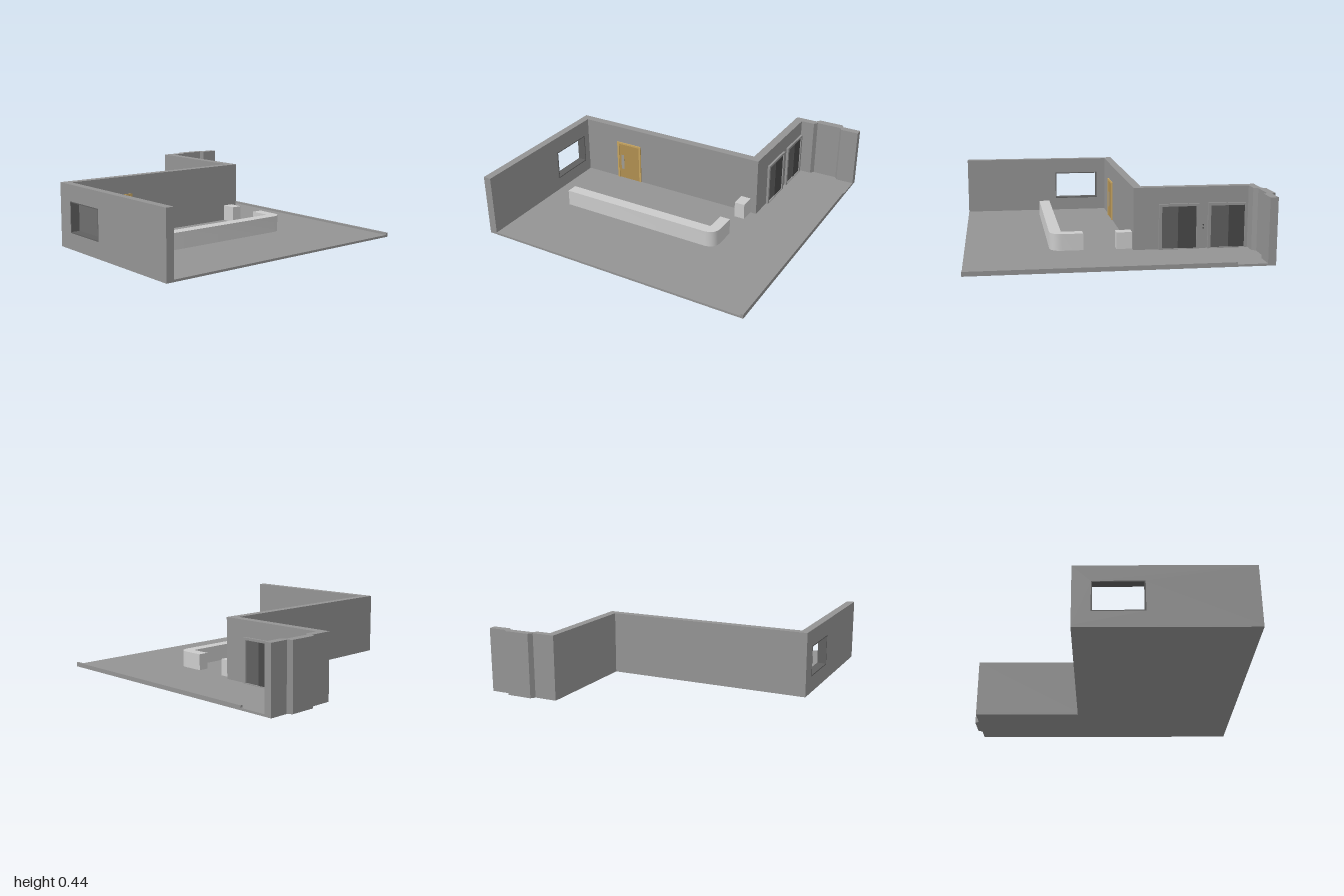
import * as THREE from 'three';
import { toCreasedNormals } from 'three/addons/utils/BufferGeometryUtils.js';

const paint = (color) => new THREE.MeshStandardMaterial({ color });
const H = 0.44, FLOOR = 0.015;

export function createModel() {
  const model = new THREE.Group();
  const stone = paint(0x949494), light = paint(0xcccccc);
  const panel = paint(0x606060), darkPanel = paint(0x484848);
  const wood = paint(0xc8a560), woodDark = paint(0xb08f50), glass = paint(0xa09c94);

  const add = (name, geometry, material, parent = model) => {
    const mesh = new THREE.Mesh(geometry, material);
    mesh.name = name;
    parent.add(mesh);
    return mesh;
  };
  // Box given by its two opposite corners
  const box = (name, [x0, y0, z0], [x1, y1, z1], material, parent) => {
    const mesh = add(name, new THREE.BoxGeometry(x1 - x0, y1 - y0, z1 - z0), material, parent);
    mesh.position.set((x0 + x1) / 2, (y0 + y1) / 2, (z0 + z1) / 2);
    return mesh;
  };
  // Floor-plan outline of (x, z) points
  const plan = (points) => new THREE.Shape(points.map(([x, z]) => new THREE.Vector2(x, -z)));
  const raise = (shape, y0, y1) => new THREE.ExtrudeGeometry(shape, { depth: y1 - y0, bevelEnabled: false, curveSegments: 10 })
    .rotateX(-Math.PI / 2).translate(0, y0, 0);
  // Upright outline of (z, y) points, extruded from x1 back to x0
  const rect = (z0, z1, y0, y1, Type = THREE.Shape) => new Type([[z0, y0], [z1, y0], [z1, y1], [z0, y1]]
    .map(([z, y]) => new THREE.Vector2(z, y)));
  const sideways = (shape, x0, x1) => new THREE.ExtrudeGeometry(shape, { depth: x1 - x0, bevelEnabled: false })
    .rotateY(-Math.PI / 2).translate(x1, 0, 0);

  // L-shaped floor with the bay at the end of the hall
  const bayOuter = [[0.98, -0.97], [0.85, -0.97], [0.83, -1], [0.65, -1], [0.63, -0.97], [0.47, -0.97]];
  const bayInner = [[0.53, -0.917], [0.63, -0.917], [0.65, -0.945], [0.83, -0.945], [0.85, -0.917], [0.98, -0.917]];
  add('floor', raise(plan([[-0.985, 1], [0.98, 1], ...bayOuter, [0.47, -0.185], [-0.985, -0.185]]), 0, FLOOR), stone);
  box('floorCurb', [0.963, FLOOR, -0.72], [0.98, 0.03, 1], stone);

  // Back, hall and end walls as one bent run
  add('backWalls', raise(plan([
    [-0.93, -0.127], [0.53, -0.127], ...bayInner, ...bayOuter, [0.47, -0.185], [-0.93, -0.185],
  ]), FLOOR, H), stone);

  // Window wall and its thin lining
  const wall = rect(-0.185, 1, FLOOR, H);
  wall.holes.push(rect(-0.062, 0.282, 0.113, 0.327, THREE.Path));
  add('windowWall', sideways(wall, -0.985, -0.93), stone);
  const lining = rect(-0.062, 0.282, 0.113, 0.327);
  lining.holes.push(rect(-0.055, 0.275, 0.12, 0.32, THREE.Path));
  add('windowFrame', sideways(lining, -0.985, -0.922), panel);

  // Counter with a rounded corner, and its short return by the wall
  const counter = new THREE.Shape();
  counter.moveTo(-0.725, -0.43);
  counter.lineTo(0.41, -0.43);
  counter.quadraticCurveTo(0.485, -0.42, 0.485, -0.345);
  counter.lineTo(0.485, -0.205);
  counter.lineTo(0.41, -0.205);
  counter.lineTo(0.41, -0.35);
  counter.lineTo(-0.725, -0.35);
  add('counter', toCreasedNormals(raise(counter, FLOOR, 0.13), 0.6), light);
  box('counterReturn', [0.41, FLOOR, -0.127], [0.485, 0.13, -0.02], light);

  // Wooden door with frame, slim pane and handle
  const door = new THREE.Group();
  door.name = 'door';
  model.add(door);
  box('doorLeaf', [-0.642, FLOOR, -0.127], [-0.463, 0.302, -0.123], woodDark, door);
  box('doorPane', [-0.625, 0.09, -0.123], [-0.6, 0.21, -0.122], glass, door);
  for (const [x0, x1] of [[-0.657, -0.642], [-0.463, -0.448]])
    box('doorJamb', [x0, FLOOR, -0.127], [x1, 0.315, -0.118], wood, door);
  box('doorHead', [-0.642, 0.302, -0.127], [-0.463, 0.315, -0.118], wood, door);

  // Two lifts with a frame and a pair of sliding panels
  for (const [front, split, back] of [[-0.3, -0.432, -0.577], [-0.637, -0.782, -0.912]]) {
    const lift = new THREE.Group();
    lift.name = 'lift';
    model.add(lift);
    const frame = rect(back, front, FLOOR, 0.327);
    frame.holes.push(rect(back + 0.02, front - 0.02, FLOOR + 0.005, 0.31, THREE.Path));
    add('liftFrame', sideways(frame, 0.53, 0.546), stone, lift);
    box('liftPanelFront', [0.53, FLOOR, split], [0.534, 0.31, front - 0.02], panel, lift);
    box('liftPanelBack', [0.53, FLOOR, back + 0.02], [0.538, 0.31, split], darkPanel, lift);
  }

  // Call buttons between the lifts
  for (const y of [0.155, 0.177]) {
    const button = add('callButton', new THREE.CylinderGeometry(0.005, 0.005, 0.004, 12), darkPanel);
    button.rotation.z = Math.PI / 2;
    button.position.set(0.532, y, -0.607);
  }
  return model;
}
